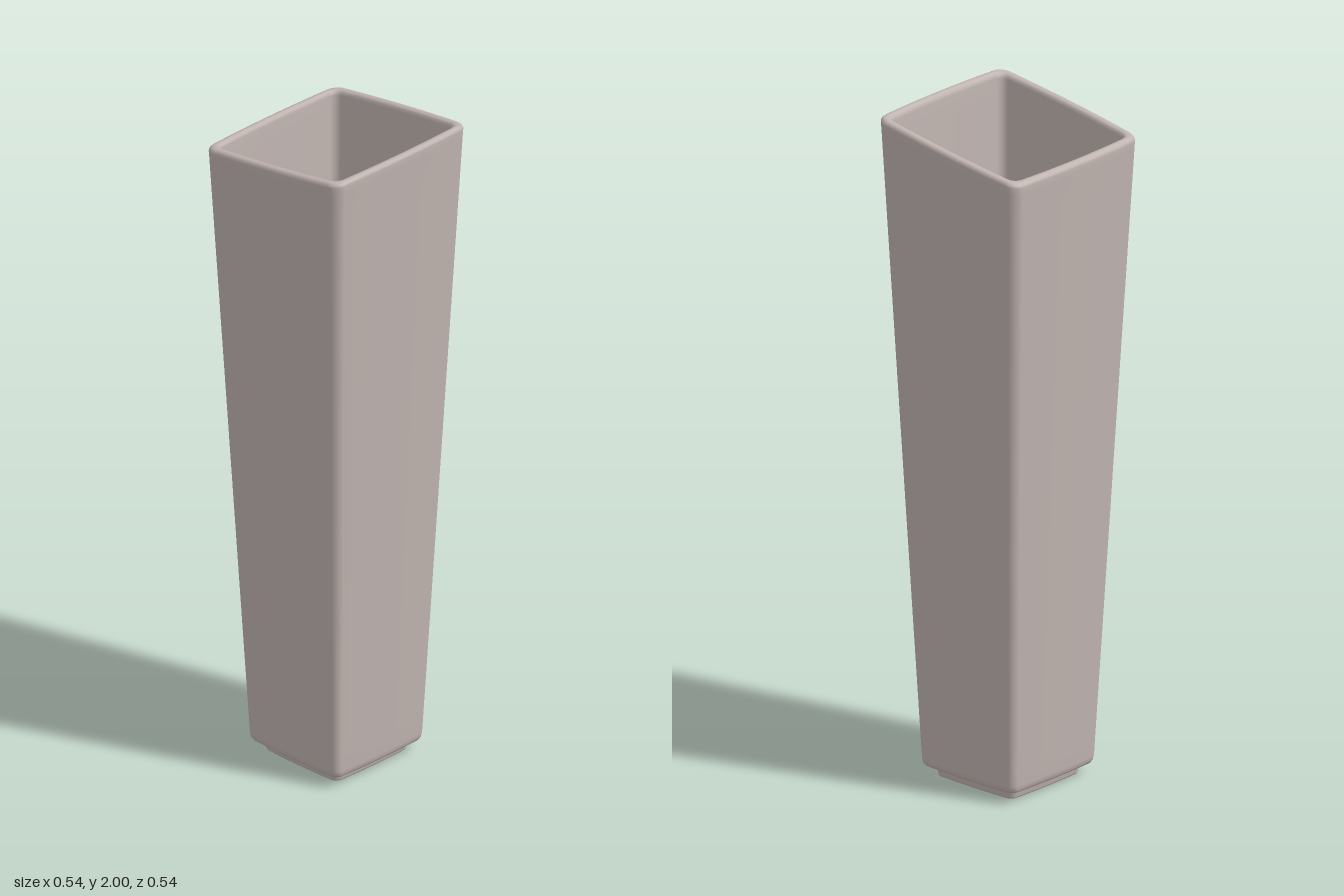
import * as THREE from 'three';

const SLOPE = 0.14; // tilt of the rim, rising toward +x
const BULGE = 0.03; // slight outward bow of each side

// Rounded square outline with gently bowed sides
function outline(h, r) {
  const pts = [], arc = 6, side = 8, c = h - r;
  for (let q = 0; q < 4; q++) {
    const base = q * Math.PI / 2;
    const add = (x, z) => {
      const bx = h ? x * (1 - BULGE * (z / h) ** 2) : 0;
      const bz = h ? z * (1 - BULGE * (x / h) ** 2) : 0;
      pts.push([bx * Math.cos(base) - bz * Math.sin(base), bx * Math.sin(base) + bz * Math.cos(base)]);
    };
    for (let i = 1; i < side; i++) add(h, -c + 2 * c * i / side);
    for (let i = 0; i <= arc; i++) {
      const a = i / arc * Math.PI / 2;
      add(c + r * Math.cos(a), c + r * Math.sin(a));
    }
  }
  return pts;
}

// Skin a list of [half width, height, corner radius] sections, tilting them more toward the top
function loft(sections) {
  const pos = [], index = [];
  let n = 0;
  sections.forEach(([h, y, r], k) => {
    const ring = outline(h, r);
    n = ring.length;
    for (const [x, z] of ring) pos.push(x, y + SLOPE * x * Math.max(0, (y - 0.1) / 1.86), z);
    if (k === 0) return;
    for (let j = 0; j < n; j++) {
      const a = (k - 1) * n + j, b = (k - 1) * n + (j + 1) % n;
      index.push(a, a + n, b, b, a + n, b + n);
    }
  });
  const g = new THREE.BufferGeometry();
  g.setAttribute('position', new THREE.Float32BufferAttribute(pos, 3));
  g.setIndex(index);
  g.computeVertexNormals();
  return g;
}

export function createModel() {
  const ceramic = new THREE.MeshStandardMaterial({ color: 0xc0b4b0 });
  ceramic.name = 'warm grey ceramic';

  // Underside recess, foot ring and rounded lower edge
  const base = [
    [0, 0.025, 0], [0.115, 0.025, 0.012], [0.122, 0.023, 0.014], [0.125, 0.018, 0.015],
    [0.127, 0.006, 0.016], [0.13, 0.001, 0.017], [0.134, 0, 0.018], [0.142, 0, 0.02],
    [0.147, 0.002, 0.02], [0.149, 0.007, 0.02], [0.151, 0.023, 0.02], [0.153, 0.028, 0.02],
    [0.158, 0.03, 0.02], [0.168, 0.031, 0.02], [0.176, 0.034, 0.021], [0.181, 0.042, 0.022], [0.183, 0.055, 0.022],
  ];
  // Tapered outer wall
  const outer = [0.1, 0.4, 0.8, 1.2, 1.6, 1.85, 1.93].map((y) => {
    const t = (y - 0.055) / 1.9;
    return [0.183 + 0.088 * t, y, 0.022 + 0.012 * t];
  });
  // Rounded rim
  const rim = [
    [0.271, 1.95, 0.034], [0.269, 1.957, 0.033], [0.264, 1.962, 0.031], [0.257, 1.963, 0.029],
    [0.25, 1.962, 0.026], [0.245, 1.957, 0.024], [0.243, 1.948, 0.023],
  ];
  // Inner wall and floor
  const inner = [1.9, 1.6, 1.2, 0.8, 0.4, 0.12].map((y) => {
    const t = (y - 0.1) / 1.85;
    return [0.165 + 0.078 * t, y, 0.02 + 0.003 * t];
  });
  const floor = [[0.163, 0.095, 0.02], [0.159, 0.084, 0.02], [0.15, 0.08, 0.018], [0.13, 0.08, 0.015], [0, 0.08, 0]];

  const vase = new THREE.Mesh(loft([...base, ...outer, ...rim, ...inner, ...floor]), ceramic);
  vase.name = 'vaseBody';

  const group = new THREE.Group();
  group.name = 'squareVase';
  group.add(vase);
  return group;
}
